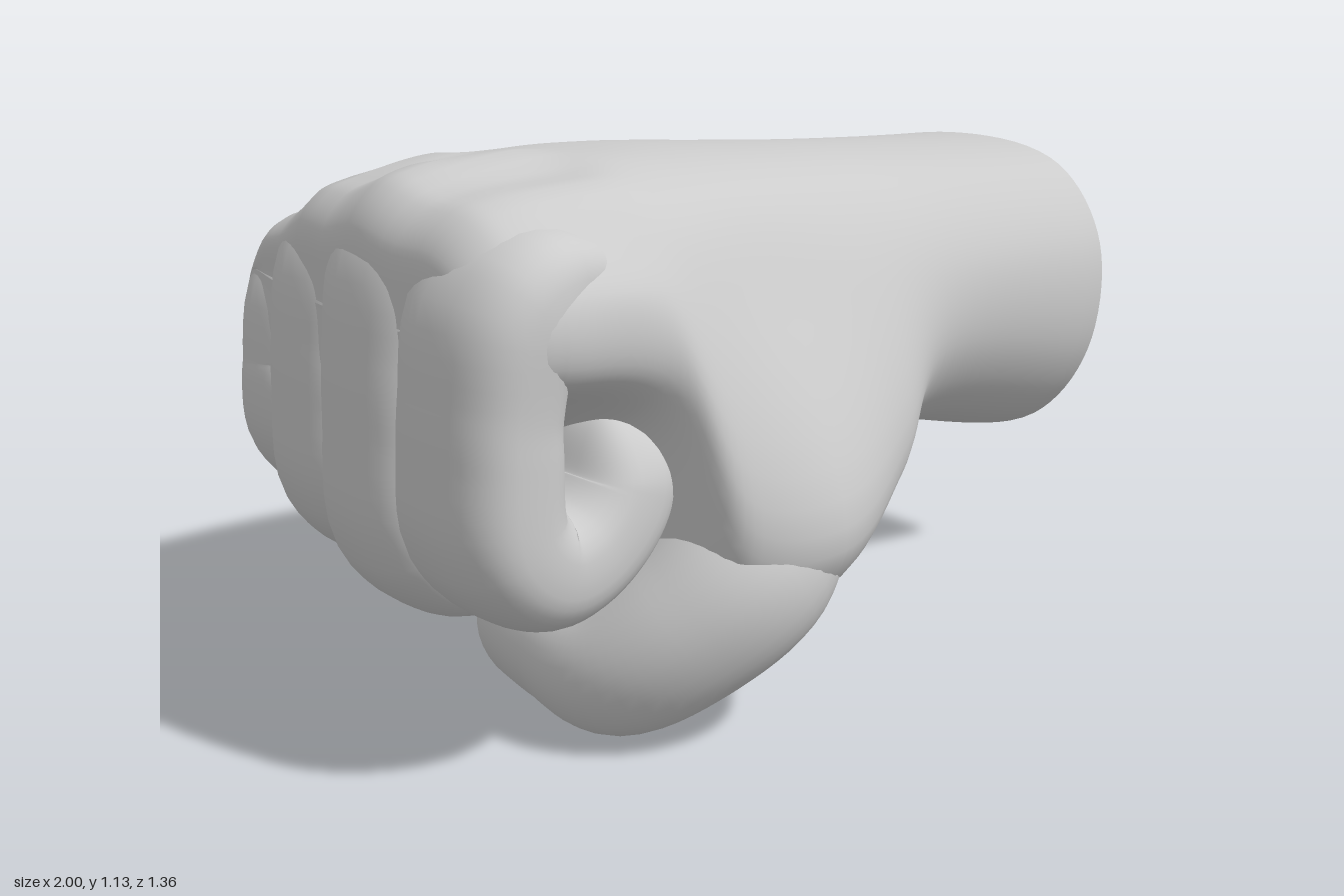
import * as THREE from 'three';

const V = (x, y, z) => new THREE.Vector3(x, y, z);
const skin = new THREE.MeshStandardMaterial({ color: 0xcccccc, side: THREE.DoubleSide });

// Skin a list of closed rings into one smooth surface
function loft(rings) {
  const n = rings[0].length, pos = [], idx = [];
  rings.forEach(r => r.forEach(p => pos.push(p.x, p.y, p.z)));
  for (let i = 0; i < rings.length - 1; i++) {
    for (let j = 0; j < n; j++) {
      const k = (j + 1) % n, a = i * n, b = a + n;
      idx.push(a + j, b + j, b + k, a + j, b + k, a + k);
    }
  }
  const g = new THREE.BufferGeometry();
  g.setAttribute('position', new THREE.Float32BufferAttribute(pos, 3));
  g.setIndex(idx);
  g.computeVertexNormals();
  return g;
}

// Tapered tube with a domed tip; points are [x, y, z, half width, half thickness].
// A power below 1 squares off the cross-section.
function sweep(points, side, power, dome = 0.1, steps = 72, sides = 36) {
  const path = new THREE.CatmullRomCurve3(points.map(p => V(p[0], p[1], p[2])));
  const size = new THREE.CatmullRomCurve3(points.map(p => V(p[3], p[4], 0)), false, 'catmullrom', 0.5);
  const soft = c => Math.sign(c) * Math.pow(Math.abs(c), power);
  const rings = [];
  for (let i = 0; i <= steps; i++) {
    // steps bunch together towards the tip
    const t = Math.sin((i / steps) * Math.PI / 2);
    const c = path.getPoint(t), tan = path.getTangent(t), s = size.getPoint(t);
    const u = side.clone().addScaledVector(tan, -side.dot(tan)).normalize();
    const v = u.clone().cross(tan);
    const e = Math.max(0, (t - 1 + dome) / dome);
    const f = Math.max(0.001, Math.sqrt(Math.max(0, 1 - e * e)));
    const ring = [];
    for (let j = 0; j < sides; j++) {
      const a = (j / sides) * Math.PI * 2;
      ring.push(c.clone().addScaledVector(u, soft(Math.cos(a)) * s.x * f)
        .addScaledVector(v, soft(Math.sin(a)) * s.y * f));
    }
    rings.push(ring);
  }
  return loft(rings);
}

// Cross-sections as [z, y], from top centre round the front, bottom and back
const forearm = [
  { x: 0.95, p: [[-.1, 1.025], [.21, .975], [.36, .8], [.365, .54], [.23, .355], [-.1, .28], [-.42, .34], [-.57, .54], [-.575, .77], [-.42, .96]] },
  { x: 0.40, p: [[-.1, 1.06], [.2, 1.0], [.345, .82], [.36, .6], [.22, .42], [-.1, .38], [-.41, .44], [-.55, .6], [-.57, .77], [-.41, .96]] },
  { x: 0.10, p: [[-.07, 1.085], [.25, 1.03], [.42, .82], [.52, .47], [.32, .26], [0, .32], [-.35, .42], [-.6, .57], [-.64, .75], [-.45, .98]] },
];
const palm = [
  { x: -0.25, p: [[-.05, 1.115], [.32, 1.06], [.48, .85], [.675, .39], [.45, .2], [.1, .34], [-.3, .47], [-.62, .59], [-.68, .75], [-.48, .99]] },
  { x: -0.46, p: [[-.05, 1.12], [.35, 1.075], [.51, .88], [.635, .42], [.45, .23], [.1, .42], [-.3, .5], [-.6, .59], [-.68, .75], [-.49, .985]] },
  { x: -0.58, p: [[-.03, 1.12], [.36, 1.075], [.515, .93], [.53, .75], [.38, .63], [.08, .52], [-.3, .53], [-.58, .61], [-.665, .75], [-.49, .98]] },
  { x: -0.80, p: [[.03, 1.11], [.36, 1.065], [.515, .95], [.52, .8], [.38, .72], [.05, .6], [-.3, .57], [-.56, .66], [-.62, .77], [-.48, .95]] },
];

function handRings() {
  const contours = [...forearm, ...palm].map(({ x, p }, i) => {
    // the cut end leans outward at the top; the knuckle row slants back to the little finger
    const lean = i === 0 ? 0.135 : 0, slant = i === 6 ? 0.2 : 0;
    // low ridges run from the knuckles along the back of the hand
    const ridge = i > 4 ? 0.012 : 0;
    const pts = p.map(([z, y]) => V(x + lean * (y - 0.65) + slant * Math.max(0, -z - 0.1), y, z));
    const ring = new THREE.CatmullRomCurve3(pts, true).getPoints(80).slice(0, 80);
    ring.forEach(q => {
      q.y += ridge * THREE.MathUtils.smoothstep(q.y, 0.82, 0.95) * Math.cos((q.z - 0.06) * Math.PI * 2 / 0.28);
    });
    return ring;
  });
  // round off the knuckle end between the fingers: [x offset, height scale, width scale]
  const last = contours[contours.length - 1];
  for (const [dx, ky, kz] of [[-0.07, 0.9, 0.975], [-0.125, 0.62, 0.9], [-0.13, 0.01, 0.85]]) {
    contours.push(last.map(p => V(p.x + dx, 0.85 + (p.y - 0.85) * ky, -0.05 + (p.z + 0.05) * kz)));
  }
  const columns = last.map((_, j) => new THREE.CatmullRomCurve3(contours.map(c => c[j])).getPoints(90));
  return columns[0].map((_, i) => columns.map(c => c[i]));
}

// Finger curling from the knuckle down, under and back up into the palm
function finger({ z, zTip, front, top, bottom, w, r }) {
  const x = front + r, yT = top - r, yB = bottom + r;
  const path = [
    [front + 0.46, yT - 0.09, 0.5], [front + 0.26, yT - 0.02, 0.9], [x + 0.045, yT - 0.06, 1.02],
    [x + 0.005, yT - 0.22, 0.97], [x, (yT + yB) / 2 - 0.04, 0.98], [x + 0.01, yB + 0.07, 1],
    [x + 0.09, yB, 0.98], [front + 0.32, yB + 0.02, 0.93], [front + 0.41, yB + 0.11, 0.88], [front + 0.42, yB + 0.26, 0.78],
  ];
  return sweep(path.map(([px, py, k], i) =>
    [px, py, z + (zTip - z) * (i / (path.length - 1)), w * k, r * k]), V(0, 0, 1), 0.76);
}

const fingers = {
  indexFinger: { z: 0.355, zTip: 0.35, front: -1.0, top: 1.08, bottom: 0.29, w: 0.17, r: 0.125 },
  middleFinger: { z: 0.06, zTip: 0.06, front: -0.98, top: 1.125, bottom: 0.225, w: 0.17, r: 0.135 },
  ringFinger: { z: -0.22, zTip: -0.2, front: -0.94, top: 1.085, bottom: 0.26, w: 0.16, r: 0.13 },
  littleFinger: { z: -0.47, zTip: -0.43, front: -0.885, top: 0.975, bottom: 0.32, w: 0.135, r: 0.12 },
};

export function createModel() {
  const group = new THREE.Group();
  const add = (name, geometry) => {
    const mesh = new THREE.Mesh(geometry, skin);
    mesh.name = name;
    group.add(mesh);
  };

  // Forearm, back of the hand and palm
  const rings = handRings();
  add('forearmAndPalm', loft(rings));

  // Flat cut end of the forearm
  const centre = V(0.95, 0.65, -0.1);
  add('forearmEnd', loft([rings[0].map(() => centre), rings[0]]));

  // Four curled fingers
  for (const [name, spec] of Object.entries(fingers)) add(name, finger(spec));

  // Thumb: out from the palm, bent at the joint and laid across the fingers
  add('thumb', sweep([
    [0.05, 0.48, 0.28, 0.08, 0.08], [-0.16, 0.41, 0.4, 0.14, 0.14], [-0.34, 0.34, 0.495, 0.175, 0.175],
    [-0.47, 0.24, 0.455, 0.165, 0.165], [-0.56, 0.155, 0.355, 0.15, 0.15],
    [-0.57, 0.16, 0.22, 0.14, 0.14], [-0.57, 0.165, 0.09, 0.135, 0.125], [-0.57, 0.165, -0.015, 0.11, 0.1],
  ], V(0.5, -0.85, 0), 0.95, 0.14));

  return group;
}
